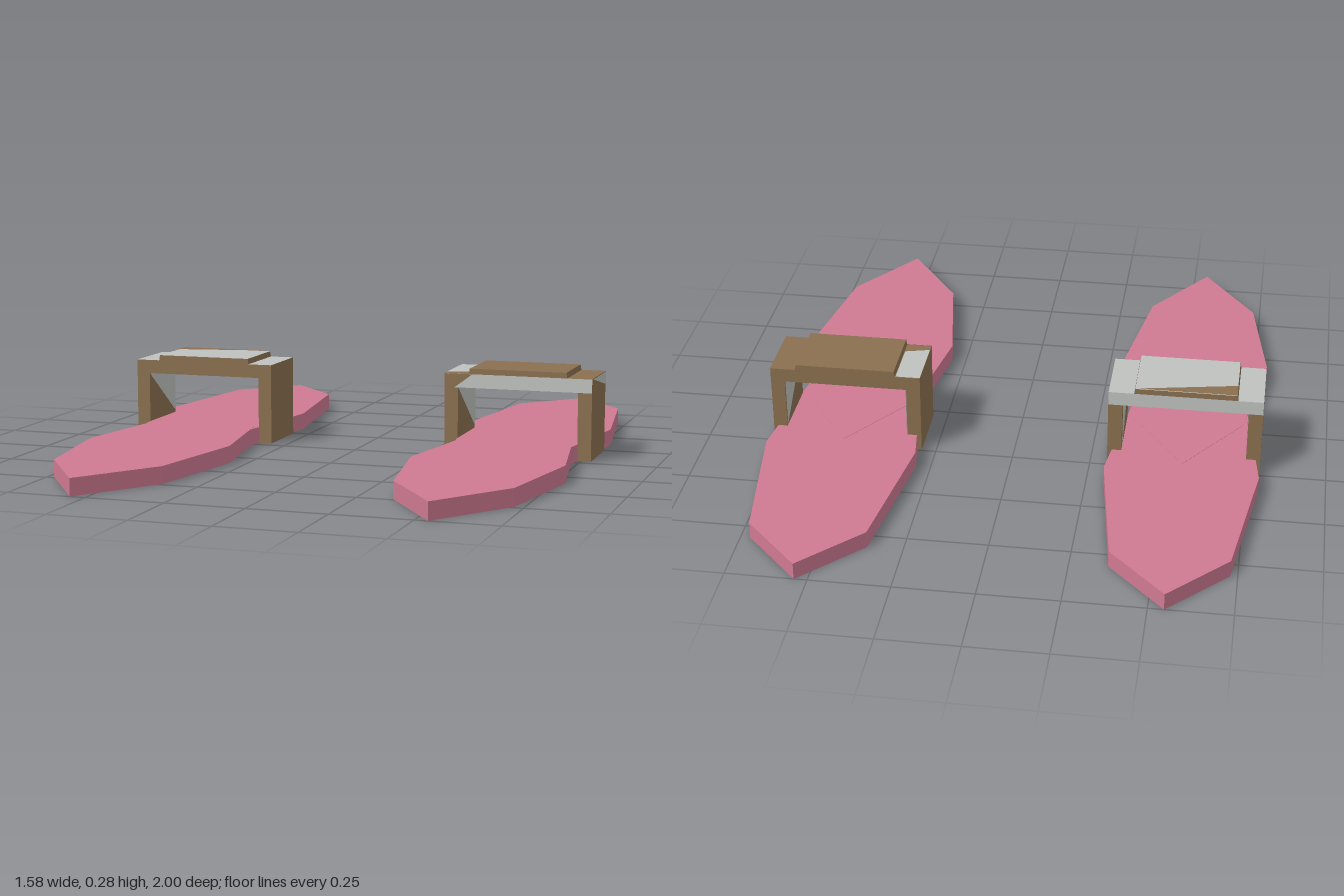
import * as THREE from 'three';

const pink = new THREE.MeshStandardMaterial({ color: 0xcf7a92, side: THREE.DoubleSide });
const brown = new THREE.MeshStandardMaterial({ color: 0x8a7050, side: THREE.DoubleSide });
const grey = new THREE.MeshStandardMaterial({ color: 0xbfc2bf, side: THREE.DoubleSide });
pink.name = 'pink sole';
brown.name = 'brown strap';
grey.name = 'grey strap';

// Non-indexed geometry from a flat list of triangle corners
function fromCorners(corners) {
  const g = new THREE.BufferGeometry();
  g.setAttribute('position', new THREE.Float32BufferAttribute(corners.flat(), 3));
  g.computeVertexNormals();
  return g;
}

function addMesh(parent, name, geometry, material) {
  const m = new THREE.Mesh(geometry, material);
  m.name = name;
  parent.add(m);
  return m;
}

// Flat convex patch used for the painted grey and brown areas
function addPatch(parent, name, points, material) {
  const corners = [];
  for (let i = 1; i < points.length - 1; i++) corners.push(points[0], points[i], points[i + 1]);
  return addMesh(parent, name, fromCorners(corners), material);
}

// Pointed sole shell, open underneath: half outline mirrored in x and z
function soleShell(shoulder, centreZ, height) {
  const quarter = [[0, 0.65], [0.18, shoulder], [0.243, 0]];
  const half = [...quarter, [0.18, -shoulder], [0, -0.65]];
  const outline = [...half, ...half.slice(1, -1).reverse().map(([x, z]) => [-x, z])];
  const corners = [];
  outline.forEach(([ax, az], i) => {
    const [bx, bz] = outline[(i + 1) % outline.length];
    const a0 = [ax, 0, az], b0 = [bx, 0, bz], a1 = [ax, height, az], b1 = [bx, height, bz];
    corners.push([0, height, 0], a1, b1, a0, b0, b1, a0, b1, a1);
  });
  return fromCorners(corners).translate(0, 0, centreZ);
}

function addBox(parent, name, size, pos, material) {
  const m = addMesh(parent, name, new THREE.BoxGeometry(...size), material);
  m.position.set(...pos);
  return m;
}

// Arch with two legs, a top bar and a raised plate; colours in order +x -x +y -y +z -z
function makeStrap(barColours, plateColour) {
  const strap = new THREE.Group();
  strap.name = 'strap';
  const z = -0.1375, depth = 0.215;
  for (const s of [-1, 1]) {
    addBox(strap, 'strapLeg', [0.045, 0.22, depth], [s * 0.2205, 0.11, z], brown);
    // grey lining on the inside of the leg
    const x = s * 0.196;
    addPatch(strap, 'legLining', [[x, 0.218, -0.03], [x, 0.218, -0.245], [x, 0.06, -0.245]], grey);
  }
  addBox(strap, 'strapBar', [0.486, 0.045, depth], [0, 0.2425, z], barColours);
  // raised plate with slightly sloping ends
  const plate = new THREE.BoxGeometry(0.325, 0.018, depth);
  const p = plate.attributes.position;
  for (let i = 0; i < p.count; i++) if (p.getY(i) > 0) p.setX(i, p.getX(i) * 0.98);
  plate.computeVertexNormals();
  addMesh(strap, 'topPlate', plate, [brown, brown, plateColour, brown, brown, brown])
    .position.set(0, 0.274, z);
  return strap;
}

export function createModel() {
  const model = new THREE.Group();
  model.name = 'pairOfSandals';

  for (const side of [-1, 1]) {
    const left = side > 0;
    const sandal = new THREE.Group();
    sandal.name = left ? 'leftSandal' : 'rightSandal';
    sandal.position.x = left ? 0.54 : -0.548;

    addMesh(sandal, 'frontSole', soleShell(0.39, 0.35, 0.055), pink);
    addMesh(sandal, 'backSole', soleShell(0.46, -0.35, 0.054), pink);

    const strap = left
      ? makeStrap([brown, brown, brown, brown, grey, brown], brown)
      : makeStrap([brown, brown, grey, grey, brown, grey], grey);
    sandal.add(strap);

    if (left) {
      // grey corner on the inner end of the bar
      addPatch(strap, 'barCorner', [
        [-0.243, 0.267, -0.06], [-0.165, 0.267, -0.08], [-0.165, 0.267, -0.245], [-0.243, 0.267, -0.245],
      ], grey);
      // grey wedge on the outer end of the bar
      addPatch(strap, 'barEndWedge', [
        [0.245, 0.264, -0.04], [0.245, 0.222, -0.244], [0.245, 0.264, -0.244],
      ], grey);
      // brown corner on the front of the bar
      addPatch(strap, 'barFrontCorner', [
        [-0.243, 0.22, -0.028], [-0.21, 0.22, -0.028], [-0.15, 0.265, -0.028], [-0.243, 0.265, -0.028],
      ], brown);
    } else {
      // brown wedge along the back of the plate
      addPatch(strap, 'plateWedge', [
        [-0.16, 0.285, -0.185], [0.155, 0.285, -0.245], [-0.16, 0.285, -0.245],
      ], brown);
    }
    model.add(sandal);
  }
  return model;
}
